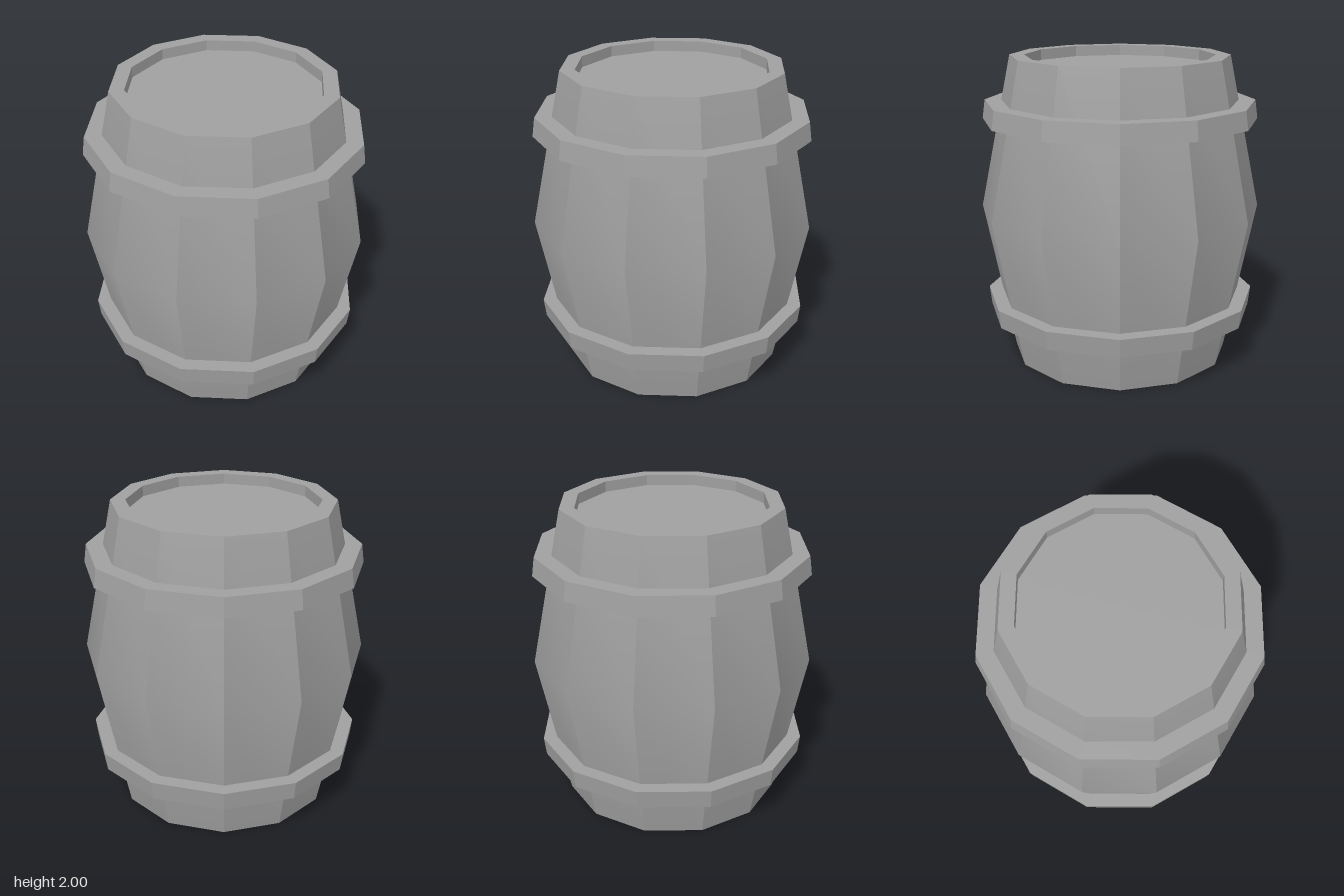
import * as THREE from 'three';
import { toCreasedNormals } from 'three/addons/utils/BufferGeometryUtils.js';

const SIDES = 12;

// Twelve-sided solid from a [radius, height] profile, smooth along each stave
function turned(name, profile, material) {
  const points = profile.map(([r, y]) => new THREE.Vector2(r, y));
  const geometry = toCreasedNormals(
    new THREE.LatheGeometry(points, SIDES).toNonIndexed(),
    THREE.MathUtils.degToRad(26)
  );
  const mesh = new THREE.Mesh(geometry, material);
  mesh.name = name;
  return mesh;
}

export function createModel() {
  const grey = new THREE.MeshStandardMaterial({ color: 0xa0a0a0 });
  grey.name = 'grey';

  const barrel = new THREE.Group();
  barrel.name = 'barrel';

  // Bulging body with a recessed head at both ends
  barrel.add(turned('body', [
    [0, 0.07], [0.62, 0.07], [0.62, 0], [0.725, 0],
    [0.92, 1],
    [0.71, 2], [0.615, 2], [0.615, 1.93], [0, 1.93],
  ], grey));

  // Hoops: closed rings, inner edge sunk into the body
  barrel.add(turned('lowerHoop', [
    [0.75, 0.295], [0.883, 0.295], [0.897, 0.418], [0.75, 0.418], [0.75, 0.295],
  ], grey));
  barrel.add(turned('upperHoop', [
    [0.74, 1.588], [0.897, 1.588], [0.88, 1.71], [0.74, 1.71], [0.74, 1.588],
  ], grey));

  return barrel;
}
